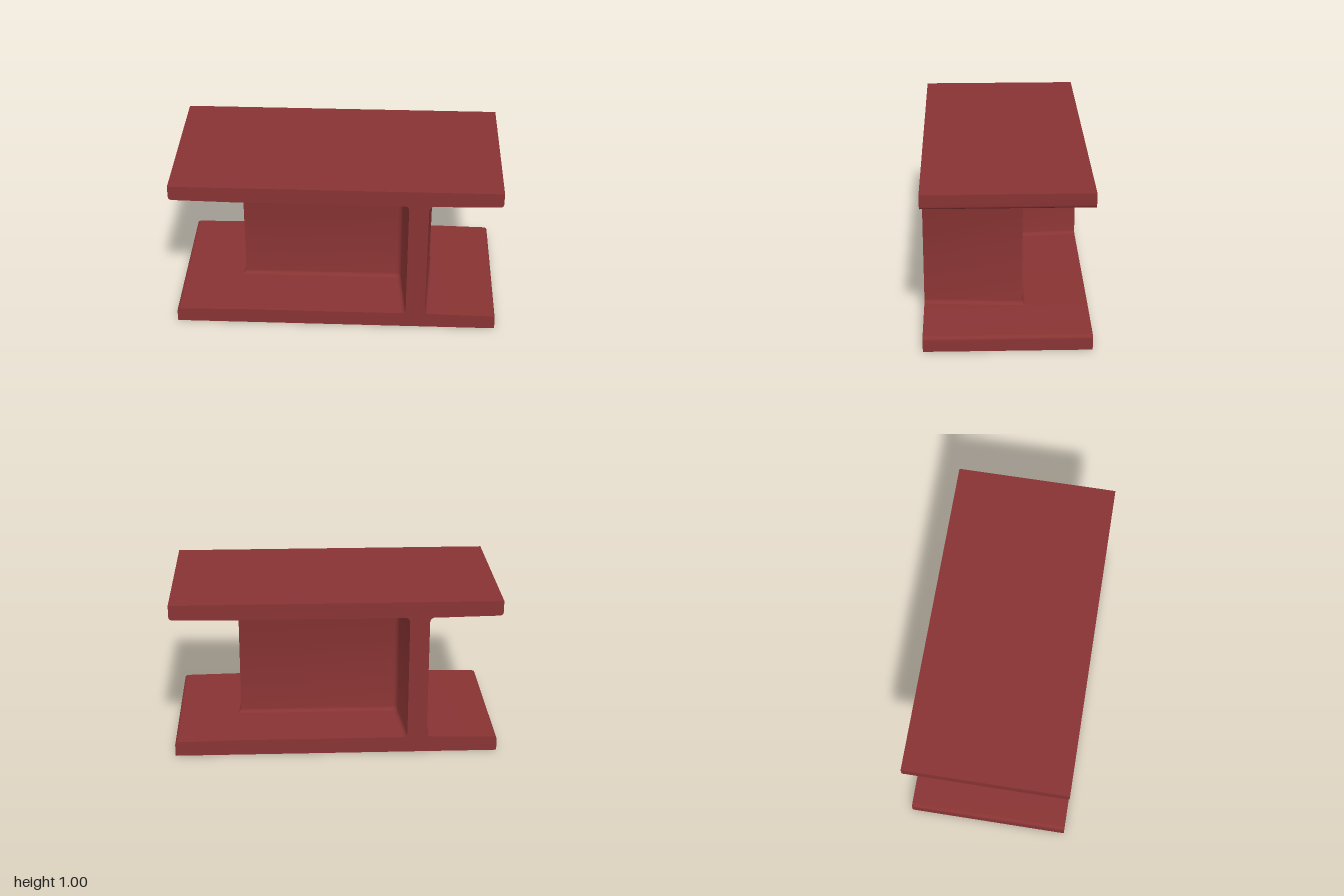
import * as THREE from 'three';
import { toCreasedNormals } from 'three/addons/utils/BufferGeometryUtils.js';

const CREASE = Math.PI / 6;

// Flange plate: thins slightly toward its ends, inner edges rounded
function flangeGeometry() {
  const s = new THREE.Shape();
  s.moveTo(-1, 0);
  s.lineTo(1, 0);
  s.lineTo(1, 0.072);
  s.quadraticCurveTo(1, 0.092, 0.975, 0.093);
  s.lineTo(0.6, 0.1);
  s.lineTo(-0.6, 0.1);
  s.lineTo(-0.975, 0.093);
  s.quadraticCurveTo(-1, 0.092, -1, 0.072);
  s.closePath();
  const g = new THREE.ExtrudeGeometry(s, { depth: 1, bevelEnabled: false, curveSegments: 6 });
  g.translate(0, 0, -0.5);
  return toCreasedNormals(g, CREASE);
}

// Plan outline of the Z-shaped web, grown outward by o
function webOutline(o) {
  const half = [[0.56 + o, 0.5], [0.6 + o, -0.1 - o]];
  const cx = -0.41 + o, cz = -0.1 - o, r = 0.035;
  for (let i = 0; i <= 5; i++) { // rounded inner corner
    const a = (i / 5) * Math.PI / 2;
    half.push([cx + r * (1 - Math.sin(a)), cz - r * (1 - Math.cos(a))]);
  }
  half.push([-0.44 + o, -0.5]);
  return [...half, ...half.map(([x, z]) => [-x, -z])];
}

// Web lofted upward, flaring into fillets where it meets each flange
function webGeometry() {
  const R = 0.032, N = 6, levels = [];
  for (let i = 0; i <= N; i++) {
    const a = (i / N) * Math.PI / 2;
    levels.push([0.098 + R * (1 - Math.cos(a)), R * (1 - Math.sin(a))]);
  }
  levels.push(...levels.map(([y, o]) => [1 - y, o]).reverse());
  const pos = [], idx = [];
  let n = 0;
  for (const [y, o] of levels) {
    const ring = webOutline(o);
    n = ring.length;
    for (const [x, z] of ring) pos.push(x, y, z);
  }
  for (let j = 0; j < levels.length - 1; j++) {
    for (let i = 0; i < n; i++) {
      const k = (i + 1) % n;
      const a = j * n + i, b = j * n + k, c = b + n, d = a + n;
      idx.push(a, b, c, a, c, d);
    }
  }
  const g = new THREE.BufferGeometry();
  g.setAttribute('position', new THREE.Float32BufferAttribute(pos, 3));
  g.setIndex(idx);
  return toCreasedNormals(g, CREASE);
}

export function createModel() {
  const group = new THREE.Group();
  group.name = 'beamSection';
  const red = new THREE.MeshStandardMaterial({ color: 0x883333 });
  const add = (name, geometry) => {
    const mesh = new THREE.Mesh(geometry, red);
    mesh.name = name;
    group.add(mesh);
    return mesh;
  };

  add('bottomFlange', flangeGeometry());
  const top = add('topFlange', flangeGeometry());
  top.rotation.z = Math.PI;
  top.position.y = 1;
  add('steppedWeb', webGeometry());
  return group;
}
